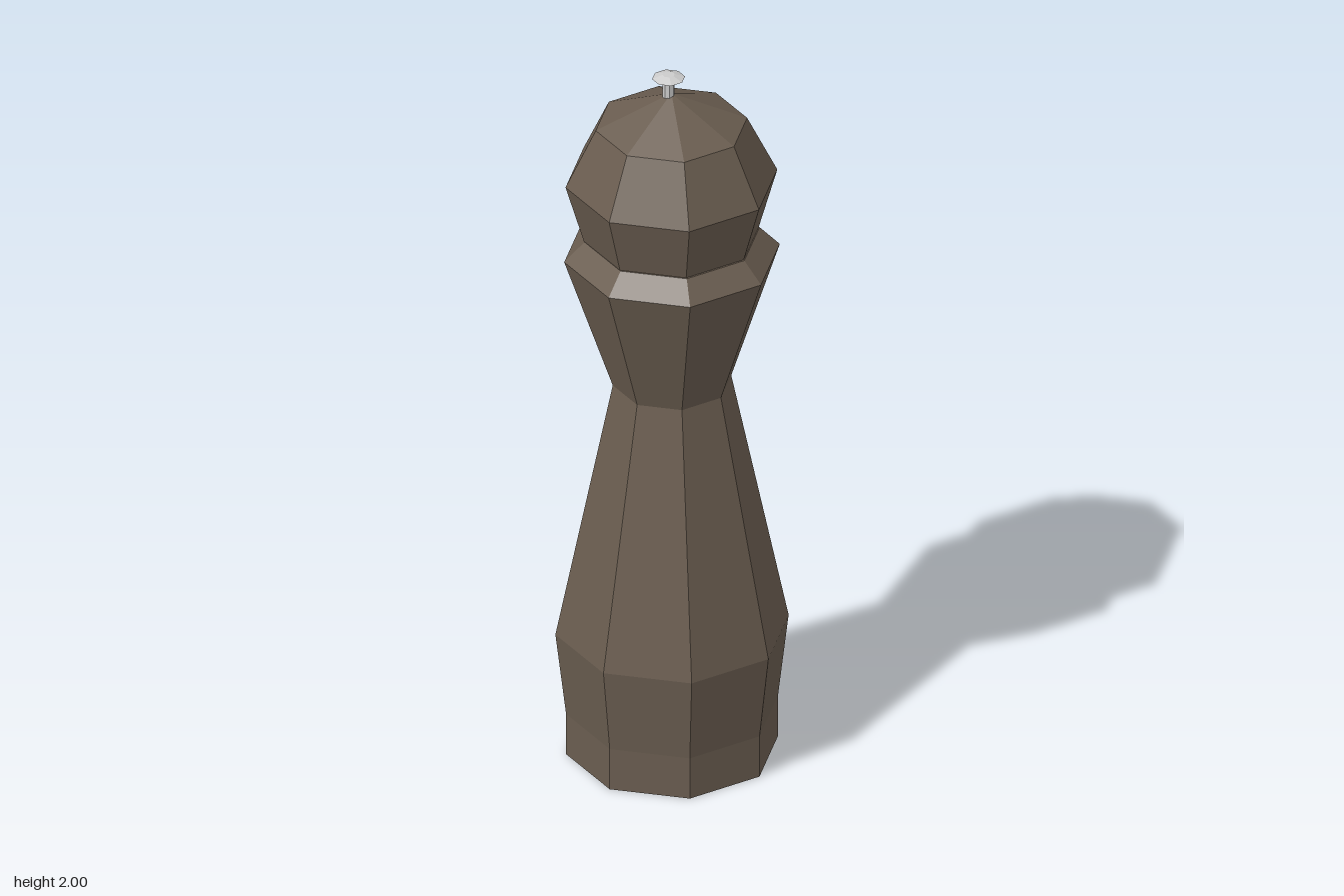
import * as THREE from 'three';

const wood = new THREE.MeshStandardMaterial({ color: 0x6a5d50, flatShading: true });
const metal = new THREE.MeshStandardMaterial({ color: 0xcccccc, flatShading: true });

// Eight-sided turned part from [radius, height] pairs, bottom to top
function turned(name, profile, material, x = 0, z = 0) {
  const points = profile.map(([r, y]) => new THREE.Vector2(r, y));
  const mesh = new THREE.Mesh(new THREE.LatheGeometry(points, 8), material);
  mesh.name = name;
  mesh.position.set(x, 0, z);
  return mesh;
}

export function createModel() {
  const mill = new THREE.Group();
  mill.name = 'pepperMill';

  // Body: straight foot, bulge, narrow waist and flared collar
  mill.add(turned('body', [
    [0, 0], [0.277, 0], [0.277, 0.12], [0.305, 0.36],
    [0.155, 1.09], [0.282, 1.47], [0.229, 1.525], [0, 1.525],
  ], wood));

  // Turning head with a low pointed crown
  mill.add(turned('head', [
    [0, 1.525], [0.229, 1.525], [0.277, 1.69], [0.198, 1.852], [0, 1.945],
  ], wood, -0.004, -0.003));

  // Metal knob: thin stem under a flat cap
  const knob = new THREE.Group();
  knob.name = 'knob';
  knob.position.set(-0.011, 0, 0);
  knob.add(turned('knobStem', [[0, 1.93], [0.016, 1.93], [0.016, 1.985], [0, 1.985]], metal));
  knob.add(turned('knobCap', [
    [0, 1.976], [0.016, 1.976], [0.043, 1.99], [0.016, 2], [0, 2],
  ], metal));
  mill.add(knob);

  return mill;
}
